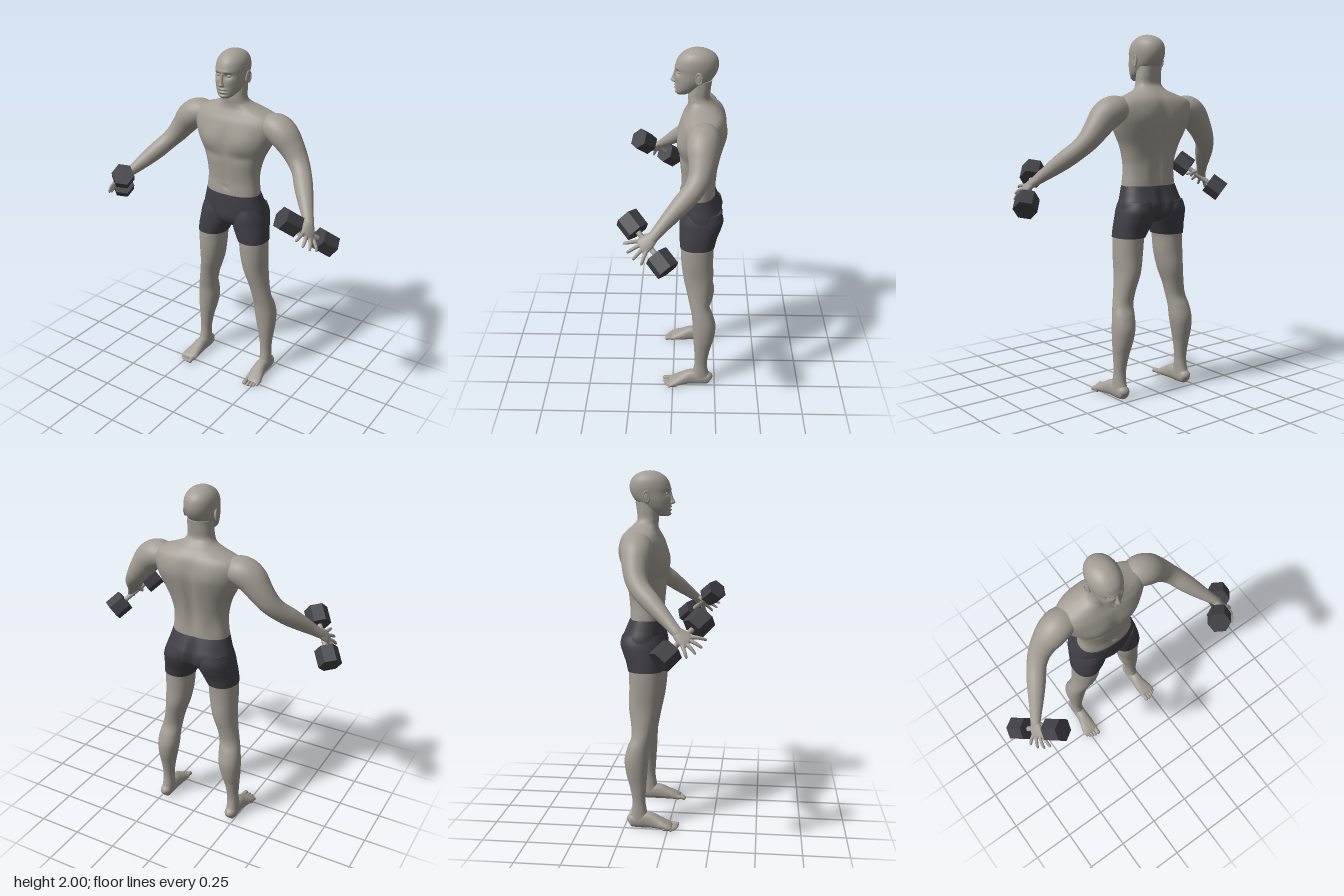
import * as THREE from 'three';

const V = (x, y, z) => new THREE.Vector3(x, y, z);
const mat = (name, color) => {
  const m = new THREE.MeshStandardMaterial({ color });
  m.name = name;
  return m;
};

// Catmull-Rom interpolation of whole rows of numbers
function refine(rows, steps) {
  const out = [], n = rows.length;
  for (let i = 0; i < n - 1; i++) {
    const [a, b, c, d] = [rows[Math.max(i - 1, 0)], rows[i], rows[i + 1], rows[Math.min(i + 2, n - 1)]];
    for (let s = 0; s < steps; s++) {
      const t = s / steps;
      out.push(b.map((p, k) => {
        const slope = c[k] - a[k];
        const square = 2 * a[k] - 5 * p + 4 * c[k] - d[k];
        const cube = 3 * p - a[k] - 3 * c[k] + d[k];
        return p + 0.5 * t * (slope + t * (square + t * cube));
      }));
    }
  }
  out.push(rows[n - 1]);
  return out;
}

// Skin over rings {c, u, v}; bumps [x, y, z, rx, ry, rz, push] shift nearby points along z on both sides
function skin(rings, segs, power, bumps = []) {
  const pos = [], idx = [], n = rings.length, e = 2 / power;
  const sp = (a) => Math.sign(a) * Math.pow(Math.abs(a), e);
  const ring = ({ c, u, v }) => {
    for (let j = 0; j < segs; j++) {
      const a = (j / segs) * Math.PI * 2;
      const p = c.clone().addScaledVector(u, sp(Math.cos(a))).addScaledVector(v, sp(Math.sin(a)));
      let dz = 0;
      for (const [x, y, z, rx, ry, rz, push] of bumps) {
        const dist = Math.hypot((Math.abs(p.x) - x) / rx, (p.y - y) / ry, (p.z - z) / rz);
        dz += push * Math.exp(-dist * dist);
      }
      pos.push(p.x, Math.max(p.y, 0), p.z + dz);
    }
  };
  rings.forEach(ring);
  for (let i = 0; i < n - 1; i++) for (let j = 0; j < segs; j++) {
    const a = i * segs + j, b = i * segs + (j + 1) % segs;
    idx.push(a, b, b + segs, a, b + segs, a + segs);
  }
  // end caps on their own rings so the edge stays crisp
  [rings[0], rings[n - 1]].forEach((r, end) => {
    const s = pos.length / 3;
    ring(r);
    pos.push(r.c.x, Math.max(r.c.y, 0), r.c.z);
    for (let j = 0; j < segs; j++) {
      const a = s + j, b = s + (j + 1) % segs;
      if (end) idx.push(a, b, s + segs); else idx.push(b, a, s + segs);
    }
  });
  // turn the faces outward by the sign of the enclosed volume
  let vol = 0;
  const at = (i) => V(pos[3 * i], pos[3 * i + 1], pos[3 * i + 2]);
  for (let i = 0; i < idx.length; i += 3) vol += at(idx[i]).dot(at(idx[i + 1]).cross(at(idx[i + 2])));
  if (vol < 0) idx.reverse();
  const g = new THREE.BufferGeometry();
  g.setAttribute('position', new THREE.Float32BufferAttribute(pos, 3));
  g.setIndex(idx);
  g.computeVertexNormals();
  return g;
}

// Upright body: rows of [y, xInner, xOuter, zFront, zBack]
const upright = (rows, s = 1, power = 2.2, bumps = [], segs = 40, steps = 6) => skin(
  refine(rows, steps).map(([y, a, b, f, k]) => ({
    c: V(s * (a + b) / 2, y, (f + k) / 2), u: V((b - a) / 2, 0, 0), v: V(0, 0, (f - k) / 2),
  })), segs, power, bumps);
const centred = (rows) => rows.map(([y, r, f, b]) => [y, -r, r, f, b]);

// Limb along a path: rows of [x, y, z, radius along ref, other radius]
function limb(rows, s, ref, segs = 24, steps = 5, power = 2) {
  const pts = refine(rows, steps);
  return skin(pts.map(([x, y, z, ru, rv], i) => {
    const p = pts[Math.max(i - 1, 0)], q = pts[Math.min(i + 1, pts.length - 1)];
    const t = V(q[0] - p[0], q[1] - p[1], q[2] - p[2]).normalize();
    const v = t.clone().cross(ref).normalize(), u = v.clone().cross(t);
    u.multiplyScalar(ru); v.multiplyScalar(rv);
    return { c: V(s * x, y, z), u: V(s * u.x, u.y, u.z), v: V(s * v.x, v.y, v.z) };
  }), segs, power);
}

export function createModel() {
  const model = new THREE.Group();
  const body = mat('skin', 0xa39d94), cloth = mat('shorts fabric', 0x403e46);
  const iron = mat('dumbbell iron', 0x404046), steel = mat('handle steel', 0xa09c98);
  const add = (name, geo, m = body) => {
    const mesh = new THREE.Mesh(geo, m);
    mesh.name = name;
    model.add(mesh);
    return mesh;
  };
  const ball = (name, x, y, z, rx, ry, rz) => {
    const mesh = add(name, new THREE.SphereGeometry(1, 20, 14));
    mesh.position.set(x, y, z);
    mesh.scale.set(rx, ry, rz);
    return mesh;
  };

  // Torso and neck, with chest, shoulder blades and spine groove
  add('torso', upright(centred([
    [1.15, .165, -.042, -.235], [1.2, .163, -.042, -.232], [1.26, .158, -.045, -.23], [1.32, .161, -.04, -.237],
    [1.4, .182, -.032, -.257], [1.48, .222, -.026, -.276], [1.55, .25, -.03, -.287], [1.61, .262, -.045, -.283],
    [1.65, .235, -.065, -.27], [1.68, .155, -.078, -.245], [1.705, .095, -.08, -.218], [1.735, .074, -.077, -.195],
    [1.78, .07, -.08, -.198], [1.83, .066, -.085, -.205],
  ]), 1, 2.35, [
    [.1, 1.5, -.03, .085, .06, .06, .012], [.1, 1.415, -.04, .08, .025, .05, -.007],
    [0, 1.5, -.03, .016, .09, .05, -.008], [0, 1.3, -.04, .012, .1, .04, -.005],
    [0, 1.225, -.04, .01, .01, .03, -.01], [0, 1.42, -.27, .024, .22, .06, .018],
    [.12, 1.56, -.27, .07, .07, .05, -.008], [.06, 1.28, -.23, .04, .08, .05, -.008],
  ], 72));

  // Head with brow, eye sockets, cheeks and lips
  add('head', upright(centred([
    [1.752, .026, -.02, -.07], [1.765, .044, -.01, -.1], [1.785, .06, -.009, -.14], [1.81, .071, -.008, -.175],
    [1.84, .079, -.008, -.208], [1.875, .083, -.01, -.23], [1.91, .085, -.01, -.238], [1.945, .08, -.022, -.232],
    [1.972, .065, -.045, -.212], [1.99, .042, -.075, -.18], [1.998, .02, -.1, -.15], [2, .002, -.122, -.128],
  ]), 1, 2.1, [
    [.032, 1.876, -.02, .017, .012, .03, -.014], [.025, 1.898, -.01, .03, .008, .03, .005],
    [.045, 1.845, -.025, .02, .02, .03, .004], [0, 1.803, -.008, .022, .005, .02, .007],
    [0, 1.795, -.008, .026, .003, .02, -.005], [0, 1.786, -.008, .018, .005, .02, .006],
    [0, 1.775, -.008, .03, .004, .02, -.004], [0, 1.762, -.01, .02, .008, .02, .004],
  ], 96, 8));
  add('nose', upright(centred([
    [1.815, .009, -.005, -.03], [1.82, .016, .008, -.03], [1.828, .015, .016, -.03], [1.84, .01, .01, -.03],
    [1.86, .008, .002, -.03], [1.885, .008, -.005, -.03], [1.9, .005, -.012, -.03],
  ]), 1, 2, [], 24, 4));

  // Shorts: seat section with a cleft at the back
  add('shortsSeat', upright(centred([
    [1.182, .167, -.038, -.238], [1.13, .182, -.035, -.26], [1.08, .197, -.036, -.278], [1.03, .198, -.042, -.27],
    [1, .16, -.055, -.245], [.98, .09, -.08, -.21],
  ]), 1, 2.3, [[0, 1.06, -.27, .02, .09, .06, .03], [0, 1.05, -.04, .05, .04, .04, .008]], 72), cloth);

  const axis = V(-.135, .145, .155).normalize();
  for (const s of [1, -1]) {
    const side = s > 0 ? 'left' : 'right';
    const put = (name, geo, m) => add(side + name, geo, m);

    ball(side + 'Eye', s * .032, 1.875, -.031, .013, .009, .011);
    ball(side + 'Ear', s * .085, 1.855, -.132, .008, .032, .018).rotation.set(-.15, s * -.25, 0);
    const rim = put('EarRim', new THREE.TorusGeometry(.018, .005, 8, 24));
    rim.position.set(s * .09, 1.858, -.134);
    rim.rotation.set(0, s * (Math.PI / 2 - .25), 0);
    rim.scale.set(.9, 1.5, .8);

    // Legs: short leg over the full leg
    put('ShortsLeg', upright([
      [1.1, .03, .185, -.05, -.27], [1.05, .012, .203, -.038, -.281], [1, .008, .212, -.036, -.268],
      [.95, .026, .219, -.036, -.248], [.9, .05, .224, -.039, -.235],
    ], s, 2.2), cloth);
    put('Leg', upright([
      [.96, .03, .212, -.045, -.24], [.9, .055, .22, -.043, -.231], [.8, .066, .222, -.047, -.228],
      [.7, .086, .222, -.06, -.23], [.6, .118, .234, -.083, -.215], [.53, .132, .248, -.098, -.211],
      [.47, .138, .262, -.11, -.233], [.4, .142, .27, -.115, -.249], [.32, .158, .268, -.12, -.24],
      [.25, .175, .261, -.125, -.221], [.16, .189, .255, -.13, -.204], [.1, .19, .258, -.122, -.208],
      [.05, .19, .26, -.11, -.224], [.02, .195, .255, -.11, -.22],
    ], s, 2.1));

    // Foot and toes
    put('Foot', limb([
      [.225, .032, -.23, .008, .01], [.225, .038, -.217, .03, .034], [.225, .044, -.17, .036, .044],
      [.225, .046, -.11, .036, .046], [.228, .035, -.06, .042, .035], [.234, .025, -.02, .048, .025],
      [.237, .017, .01, .049, .017], [.237, .013, .022, .042, .01],
    ], s, V(1, 0, 0), 28, 5, 2.3));
    const toes = [[.203, .06, .014], [.226, .058, .01], [.244, .052, .0095], [.26, .043, .009], [.275, .03, .009]];
    toes.forEach(([x, z, r], i) => {
      put('Toe' + (i + 1), limb([
        [x - .002, r + .002, z - .055, r, r], [x, r + .004, z - .025, r * .9, r * .9], [x, r, z - .009, r, r],
        [x, r - .002, z - .002, r * .7, r * .6], [x, r - .003, z, .001, .001],
      ], s, V(1, 0, 0), 12, 4));
    });

    // Arm from the shoulder to the wrist
    put('Arm', limb([
      [.17, 1.592, -.168, .06, .07], [.25, 1.594, -.163, .079, .086], [.307, 1.562, -.157, .081, .084],
      [.358, 1.502, -.155, .069, .071], [.403, 1.443, -.143, .058, .061], [.445, 1.393, -.112, .051, .054],
      [.487, 1.344, -.06, .05, .051], [.53, 1.295, -.005, .043, .043], [.57, 1.25, .045, .033, .034],
      [.605, 1.212, .086, .024, .029], [.615, 1.2, .1, .02, .026],
    ], s, V(.7, .7, 0), 36, 6));

    // Hand with spread fingers
    put('Palm', limb([
      [.597, 1.22, .077, .024, .02], [.61, 1.205, .096, .033, .02], [.622, 1.186, .12, .041, .018],
      [.632, 1.168, .145, .043, .014], [.635, 1.163, .154, .036, .009],
    ], s, axis, 24, 5));
    for (let i = 0; i < 4; i++) {
      const k = 1.5 - i, len = [.9, 1.08, 1.05, .82][i];
      const base = V(.63, 1.17, .142).addScaledVector(axis, k * .022);
      const reach = V(.024, -.04, .058).multiplyScalar(len).addScaledVector(axis, k * .026);
      const at = (t, bow, r) => [base.x + reach.x * t + bow, base.y + reach.y * t + bow, base.z + reach.z * t, r, r];
      put('Finger' + (i + 1), limb([
        at(0, 0, .011), at(.4, .004, .0095), at(.75, .003, .0085), at(.95, 0, .006), at(1, -.001, .001),
      ], s, axis, 12, 4));
    }
    put('Thumb', limb([
      [.598, 1.212, .1, .013, .013], [.584, 1.203, .128, .013, .012], [.584, 1.186, .152, .011, .01],
      [.592, 1.172, .166, .008, .007], [.595, 1.168, .17, .001, .001],
    ], s, V(.7, .7, 0), 14, 4));

    // Dumbbell: handle and two hexagonal heads
    const bell = new THREE.Group();
    bell.name = side + 'Dumbbell';
    bell.position.set(s * .612, 1.177, .118);
    bell.quaternion.setFromUnitVectors(V(0, 1, 0), V(s * axis.x, axis.y, axis.z));
    const bar = new THREE.Mesh(new THREE.CylinderGeometry(.014, .014, .2, 20), steel);
    bar.name = 'handle';
    bell.add(bar);
    for (const e of [1, -1]) {
      const hex = new THREE.CylinderGeometry(.065, .065, .1, 6).toNonIndexed();
      hex.computeVertexNormals();
      const weight = new THREE.Mesh(hex, iron);
      weight.name = 'hexHead';
      weight.position.y = e * .125;
      bell.add(weight);
    }
    model.add(bell);
  }
  return model;
}
